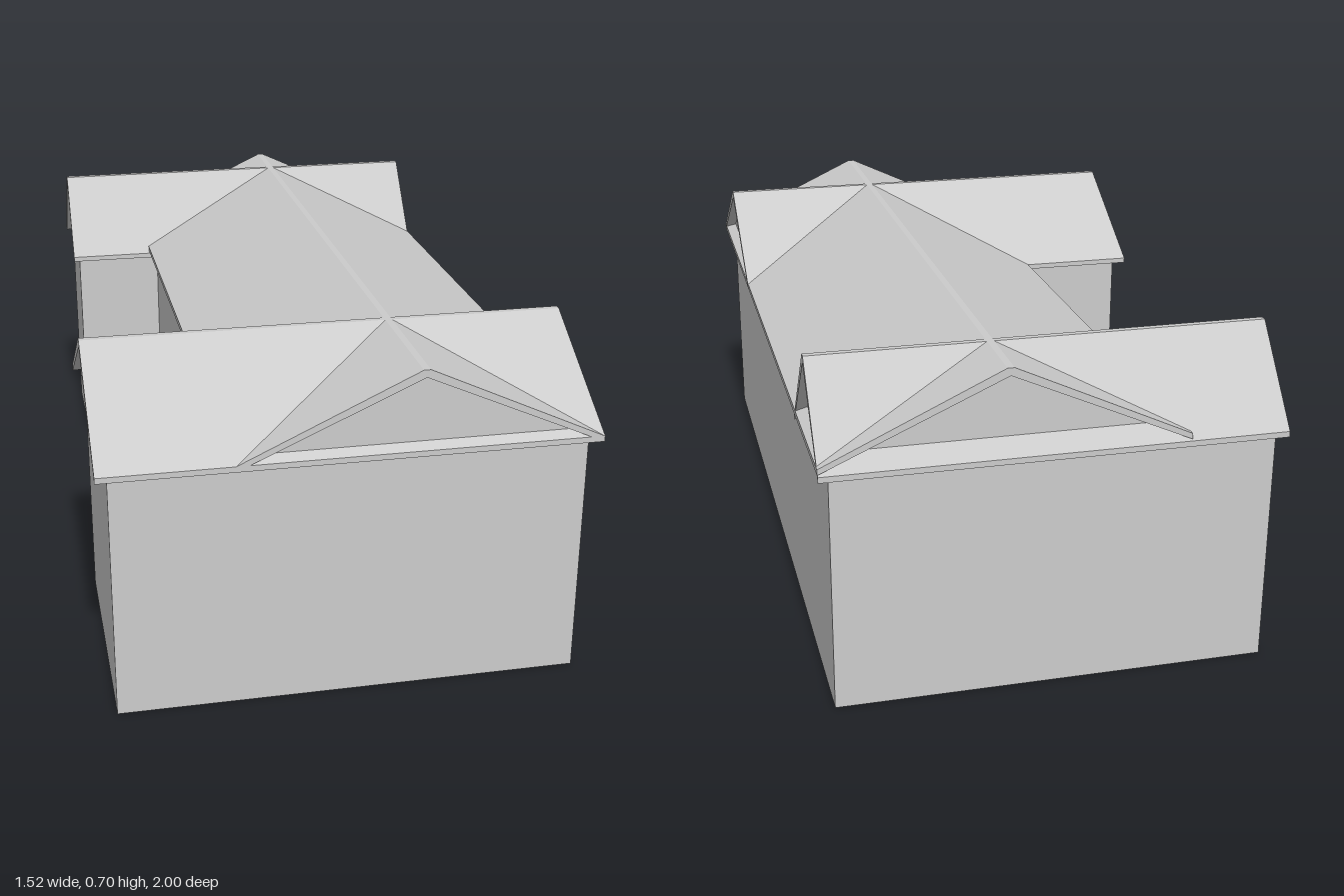
import * as THREE from 'three';

const material = new THREE.MeshStandardMaterial({ color: 0xcccccc, flatShading: true, side: THREE.DoubleSide });
const WALL_TOP = 0.535, RIDGE = 0.7, THICK = 0.012;

// Open-bottomed wall ring following a closed plan outline of [x, z] corners
function wallRing(plan) {
  const pos = [];
  plan.forEach(([x0, z0], i) => {
    const [x1, z1] = plan[(i + 1) % plan.length];
    pos.push(x0, 0, z0, x1, 0, z1, x1, WALL_TOP, z1, x0, 0, z0, x1, WALL_TOP, z1, x0, WALL_TOP, z0);
  });
  const g = new THREE.BufferGeometry();
  g.setAttribute('position', new THREE.Float32BufferAttribute(pos, 3));
  g.computeVertexNormals();
  return g;
}

// Folded roof slab with a narrow flat ridge, running along z from a to b
function gableRoof(half, eave, a, b) {
  const s = new THREE.Shape([
    [-half, eave - THICK], [0, RIDGE - THICK * 1.3], [half, eave - THICK],
    [half, eave], [0.007, RIDGE], [-0.007, RIDGE], [-half, eave],
  ].map(([x, y]) => new THREE.Vector2(x, y)));
  return new THREE.ExtrudeGeometry(s, { depth: b - a, bevelEnabled: false }).translate(0, 0, a);
}

// Triangle closing the roof above a wall, at position z
function gableWall(half, z, faceSign) {
  const s = new THREE.Shape([
    new THREE.Vector2(-half, WALL_TOP), new THREE.Vector2(half, WALL_TOP), new THREE.Vector2(0, RIDGE - THICK * 1.3),
  ]);
  const g = new THREE.ShapeGeometry(s);
  if (faceSign < 0) g.rotateY(Math.PI);
  return g.translate(0, 0, z);
}

export function createModel() {
  const model = new THREE.Group();
  model.name = 'house';
  const add = (parent, name, geometry) => {
    const m = new THREE.Mesh(geometry, material);
    m.name = name;
    parent.add(m);
  };

  // House set at an angle on its plot
  const house = new THREE.Group();
  house.name = 'building';
  house.rotation.y = 0.3784;
  model.add(house);

  // Long body with a wing at each end, all stepping out on one side
  add(house, 'walls', wallRing([
    [0.452, -0.86], [-0.449, -0.86], [-0.449, -0.6], [-0.236, -0.6],
    [-0.236, 0.302], [-0.503, 0.302], [-0.503, 0.842], [0.452, 0.842],
  ]));

  // Gabled roofs: centre is the ridge offset, from/to are the roof ends, wall ends sit inside them
  const roofs = [
    { name: 'main', along: 'z', centre: 0.108, half: 0.368, eave: 0.532, from: -0.889, to: 0.863, walls: [-0.86, 0.842], wallHalf: 0.344 },
    { name: 'backWing', along: 'x', centre: -0.73, half: 0.159, eave: 0.516, from: -0.465, to: 0.475, walls: [-0.449, 0.452], wallHalf: 0.13 },
    { name: 'frontWing', along: 'x', centre: 0.569, half: 0.294, eave: 0.532, from: -0.527, to: 0.477, walls: [-0.503, 0.452], wallHalf: 0.27 },
  ];
  for (const r of roofs) {
    const part = new THREE.Group();
    part.name = r.name;
    if (r.along === 'z') part.position.x = r.centre;
    else {
      part.rotation.y = Math.PI / 2;
      part.position.z = r.centre;
    }
    add(part, r.name + 'Roof', gableRoof(r.half, r.eave, r.from, r.to));
    r.walls.forEach((z, i) => add(part, r.name + 'Gable', gableWall(r.wallHalf, z, i ? 1 : -1)));
    house.add(part);
  }
  return model;
}
